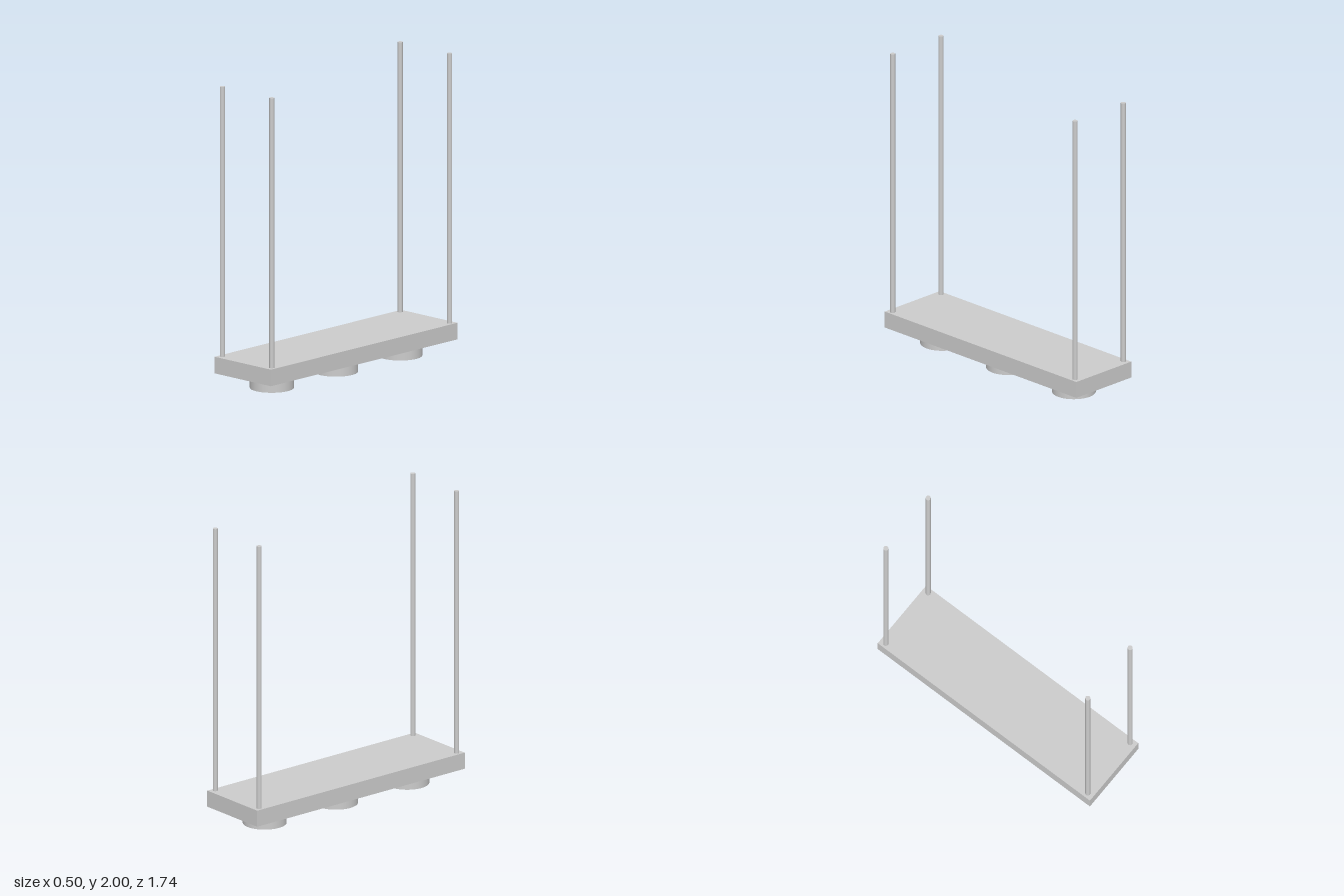
import * as THREE from 'three';

export function createModel() {
  const group = new THREE.Group();
  const grey = new THREE.MeshStandardMaterial({ color: 0xcccccc });
  grey.name = 'light grey';

  function add(name, geometry, x, y, z) {
    const mesh = new THREE.Mesh(geometry, grey);
    mesh.name = name;
    mesh.position.set(x, y, z);
    group.add(mesh);
  }

  // Flat rectangular housing
  add('housing', new THREE.BoxGeometry(0.502, 0.11, 1.74), 0, 0.155, 0);

  // Three round lamps below the housing
  const lamp = new THREE.CylinderGeometry(0.142, 0.142, 0.1, 48);
  for (const z of [-0.598, 0, 0.598]) add('lamp', lamp, 0, 0.05, z);

  // Four hanging rods at the corners
  const rod = new THREE.CylinderGeometry(0.0165, 0.0165, 1.79, 24);
  for (const x of [-0.22, 0.22]) {
    for (const z of [-0.828, 0.828]) add('hangingRod', rod, x, 1.105, z);
  }

  return group;
}
